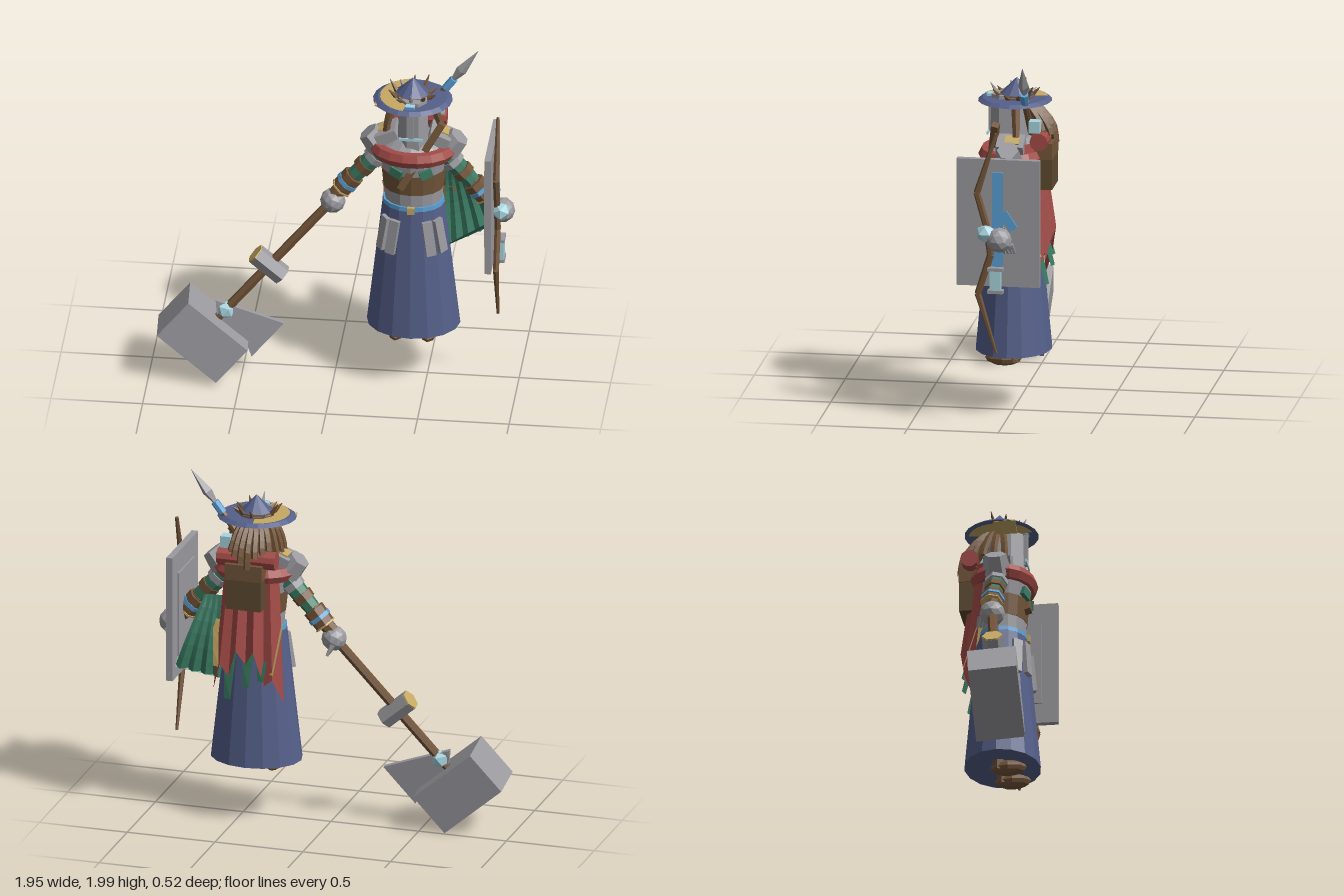
import * as THREE from 'three';

const mat = (name, color, side = THREE.FrontSide) => {
  const m = new THREE.MeshStandardMaterial({ color, side, flatShading: true });
  m.name = name;
  return m;
};
const V = (x, y, z) => new THREE.Vector3(x, y, z);

export function createModel() {
  const root = new THREE.Group();
  root.name = 'wanderingFighter';
  const navy = mat('navy cloth', 0x55608a), grey = mat('steel grey', 0x9b9a9f), brown = mat('leather brown', 0x735539);
  const dark = mat('dark leather', 0x5e4a30), red = mat('red cloth', 0xa34b47, THREE.DoubleSide);
  const green = mat('green cloth', 0x3a7a62, THREE.DoubleSide), gold = mat('gold', 0xc6a964, THREE.DoubleSide);
  const pale = mat('pale blue crystal', 0xa9d6e0), blue = mat('bright blue', 0x5a9fd4);
  const CX = 0.425;

  const add = (name, geo, m, [x, y, z] = [0, 0, 0], [a, b, c] = [0, 0, 0], parent = root) => {
    const mesh = new THREE.Mesh(geo, m);
    mesh.name = name;
    mesh.position.set(x, y, z);
    mesh.rotation.set(a, b, c);
    parent.add(mesh);
    return mesh;
  };
  const box = (w, h, d) => new THREE.BoxGeometry(w, h, d);
  // tapered rod from point a to point b
  const rod = (name, a, b, ra, rb, m, sides = 7, parent = root) => {
    const A = V(...a), B = V(...b), dir = B.clone().sub(A);
    const mesh = add(name, new THREE.CylinderGeometry(rb, ra, dir.length(), sides), m, [0, 0, 0], [0, 0, 0], parent);
    mesh.position.copy(A).lerp(B, 0.5);
    mesh.quaternion.setFromUnitVectors(V(0, 1, 0), dir.normalize());
    return mesh;
  };
  // elliptical body section between two heights
  const section = (name, y0, y1, r0, r1, m, sides = 16, depth = 0.82, z = 0.005) => {
    const mesh = add(name, new THREE.CylinderGeometry(r1, r0, y1 - y0, sides), m, [CX, (y0 + y1) / 2, z]);
    mesh.scale.z = depth;
    return mesh;
  };
  // cloth sheet shaped by a rule of u, v in 0..1
  const sheet = (name, nu, nv, rule, m) => {
    const g = new THREE.PlaneGeometry(1, 1, nu, nv), p = g.attributes.position;
    for (let i = 0; i < p.count; i++) p.setXYZ(i, ...rule(p.getX(i) + 0.5, 0.5 - p.getY(i)));
    g.computeVertexNormals();
    return add(name, g, m);
  };

  // Skirt, torso and belt
  section('skirt', 0.345, 1.12, 0.255, 0.167, navy);
  section('waist', 1.1, 1.2, 0.155, 0.162, grey);
  section('leatherCorset', 1.2, 1.32, 0.165, 0.178, brown);
  section('chestPlate', 1.32, 1.45, 0.175, 0.2, grey);
  section('shoulderSlope', 1.45, 1.53, 0.2, 0.1, grey);
  section('belt', 1.1, 1.125, 0.17, 0.168, blue);
  add('beltBuckle', box(0.04, 0.04, 0.02), gold, [CX, 1.11, 0.145]);
  rod('chestStrap', [0.59, 1.63, 0.08], [0.37, 1.25, 0.15], 0.028, 0.028, brown, 4);
  const collar = add('redCollar', new THREE.TorusGeometry(0.195, 0.045, 6, 18), red, [CX, 1.435, 0.01], [Math.PI / 2, 0, 0]);
  collar.scale.y = 0.78;

  // Paired feet, hip plates, shoulder plates, arms
  for (const s of [-1, 1]) {
    const at = (dx, y, z) => [CX + s * dx, y, z];
    const foot = add('foot', new THREE.SphereGeometry(0.05, 8, 6), brown, at(0.088, 0.305, 0.05));
    foot.scale.set(0.95, 0.85, 2);
    rod('ankle', at(0.088, 0.29, 0), at(0.088, 0.4, 0), 0.04, 0.04, brown);
    for (const [dx, z, turn] of [[0.1, 0.152, 0.35], [0.155, 0.105, 0.9]]) {
      const plate = add('hipPlate', box(0.055, 0.2, 0.025), grey, at(dx, 0.945, z), [-0.12, s * turn, s * 0.1]);
      plate.rotation.order = 'YXZ';
    }
    add('chestOrnament', box(0.07, 0.05, 0.03), green, at(0.08, 1.345, 0.14), [0, s * 0.4, s * 0.3]);
    add('shoulderPlate', new THREE.CylinderGeometry(0.06, 0.08, 0.11, 6), grey, at(0.215, 1.47, 0), [0, 0, -s * 0.7]);
    add('shoulderGuard', box(0.12, 0.07, 0.15), grey, at(0.14, 1.51, 0), [0, 0, -s * 0.4]);
    add('shoulderTrim', box(0.07, 0.008, 0.08), gold, at(0.16, 1.546, -0.01), [0, 0, -s * 0.4]);
    rod('upperSleeve', at(0.17, 1.4, 0), at(0.32, 1.235, 0), 0.06, 0.045, green);
    rod('sleeveBand', at(0.255, 1.31, 0), at(0.285, 1.275, 0), 0.06, 0.057, brown);
    rod('sleeveGuard', at(0.2, 1.37, 0), at(0.225, 1.34, 0), 0.066, 0.063, grey);
    rod('forearm', at(0.32, 1.235, 0), at(0.43, 1.11, 0.01), 0.045, 0.04, brown);
    rod('cuff', at(0.325, 1.23, 0), at(0.395, 1.145, 0), 0.062, 0.058, brown);
    rod('cuffBand', at(0.353, 1.196, 0), at(0.368, 1.178, 0), 0.066, 0.066, blue);
    rod('cuffTrim', at(0.39, 1.15, 0), at(0.396, 1.143, 0), 0.064, 0.064, gold);
    const hx = s < 0 ? 0.44 : 0.485;
    add('hand', new THREE.IcosahedronGeometry(0.07, 1), grey, at(hx, 1.07, 0.01));
    for (let i = 0; i < 4; i++) {
      rod('finger', at(hx + 0.01, 1.05, 0.005 - i * 0.02), at(hx - 0.015, 0.995, -0.02 - i * 0.018), 0.016, 0.008, grey, 5);
    }
  }

  // Head and mask
  section('helmet', 1.46, 1.77, 0.088, 0.08, grey, 8, 1.25, 0.03).rotation.y = Math.PI / 8;
  add('maskRidge', box(0.03, 0.2, 0.02), grey, [CX, 1.65, 0.134]);
  add('eyeSlit', box(0.13, 0.016, 0.008), pale, [CX, 1.555, 0.142]);

  // Wide hat
  const brim = add('hatBrim', new THREE.CylinderGeometry(0.19, 0.217, 0.018, 20), navy, [0.42, 1.742, 0]);
  brim.scale.z = 0.93;
  add('hatCrown', new THREE.ConeGeometry(0.1, 0.1, 10), navy, [0.42, 1.81, -0.01]);
  add('hatBand', new THREE.CylinderGeometry(0.095, 0.1, 0.025, 10), brown, [0.42, 1.758, -0.01]);
  add('hatBuckle', box(0.05, 0.035, 0.04), pale, [0.42, 1.748, 0.13]);
  add('hatBuckleFace', box(0.045, 0.03, 0.008), blue, [0.42, 1.75, 0.154]);
  for (const y of [1.753, 1.73]) {
    add('brimPatch', new THREE.RingGeometry(0.09, 0.178, 12, 1, 1.75, 2.75), gold, [0.42, y, 0], [-Math.PI / 2, 0, 0]);
  }
  add('brimFlap', box(0.1, 0.008, 0.12), gold, [0.27, 1.718, 0.04], [0, 0, -0.35]);
  for (let i = 0; i < 10; i++) {
    const a = i * Math.PI / 5 + 0.3, c = Math.cos(a), n = Math.sin(a);
    rod('hatThorn', [0.42 + c * 0.09, 1.755, n * 0.09], [0.42 + c * 0.135, 1.785 + (i % 3) * 0.02, n * 0.135],
      0.016, 0.002, i % 4 === 2 ? grey : brown, 5);
  }

  // Braided hair falling at the side and back
  for (let i = 0; i < 10; i++) {
    const a = Math.PI * (0.95 + i * 0.085), c = Math.cos(a), n = Math.sin(a), low = 1.5 + (i % 3) * 0.03;
    const path = new THREE.CatmullRomCurve3([
      V(CX + c * 0.07, 1.73, n * 0.09), V(CX + c * 0.11, 1.68, n * 0.15),
      V(CX + c * 0.14, 1.6, n * 0.21), V(CX + c * 0.15, low, n * 0.225)]);
    add('braid', new THREE.TubeGeometry(path, 6, 0.02, 5), brown);
  }
  rod('looseLock', [0.52, 1.71, -0.02], [0.57, 1.56, -0.03], 0.025, 0.02, brown, 5);

  // Spear carried on the back
  rod('spearShaft', [0.43, 1.55, -0.09], [0.6, 1.775, -0.08], 0.018, 0.018, brown);
  rod('spearBinding', [0.59, 1.76, -0.08], [0.635, 1.82, -0.083], 0.024, 0.024, blue);
  rod('spearBladeBase', [0.63, 1.815, -0.083], [0.675, 1.875, -0.087], 0.012, 0.03, grey, 4);
  rod('spearBladeTip', [0.675, 1.875, -0.087], [0.767, 1.998, -0.095], 0.03, 0.001, grey, 4);

  // Backpack, bedroll and charms
  add('backpack', box(0.2, 0.25, 0.09), dark, [0.43, 1.385, -0.175]);
  add('backpackFlap', box(0.21, 0.09, 0.1), brown, [0.43, 1.475, -0.172]);
  add('bedroll', new THREE.CylinderGeometry(0.05, 0.05, 0.33, 10), red, [CX, 1.54, -0.155], [0, 0, Math.PI / 2]);
  add('crystalCharm', box(0.06, 0.065, 0.06), pale, [0.55, 1.62, -0.13]);

  // Tattered red cape with green and gold rags
  const lengths = [0.8, 0.66, 0.7, 0.5, 0.58, 0.5, 0.66, 0.6, 0.76];
  sheet('redCape', 8, 8, (u, v) => {
    const w = u * 2 - 1;
    return [CX + w * (0.15 + 0.05 * v), 1.52 - v * lengths[Math.round(u * 8)],
      -0.14 - 0.07 * v + 0.06 * w * w + 0.012 * Math.cos(u * 8 * Math.PI)];
  }, red);
  [[0.34, green, 0.3], [0.42, green, 0.34], [0.53, green, 0.42], [0.29, gold, 0.26], [0.6, gold, 0.25]].forEach(([x, m, len]) => {
    sheet('rag', 1, 3, (u, v) => [x + (u - 0.5) * 0.1 * (1 - 0.6 * v), 1.15 - v * len,
      -0.125 - 0.09 * v + 1.3 * (x - CX) ** 2 + u * 0.015], m);
  });

  // Green half cloak hanging from the left arm
  sheet('greenCloak', 8, 6, (u, v) => [0.59 + u * (0.11 + 0.14 * v), 1.27 - 0.48 * v + 0.08 * u * v,
    -0.05 - 0.11 * u * v - 0.03 * Math.sin(v * Math.PI) + 0.014 * v * Math.cos(u * 8 * Math.PI)], green);
  sheet('greenCloakUnderside', 4, 2, (u, v) => [0.6 + u * 0.24, 0.79 + 0.08 * u + v * 0.06,
    -0.05 - 0.11 * u + v * 0.1 * (1 - u * 0.4)], green);

  // Tower shield with a raised inner panel
  add('shield', box(0.036, 0.71, 0.455), grey, [0.855, 1.155, 0.022]);
  add('shieldInnerPanel', box(0.012, 0.48, 0.28), grey, [0.833, 1.155, 0.022]);

  // Sword in the left hand
  add('swordBlade', box(0.014, 0.54, 0.058), blue, [0.882, 1.17, 0.022]);
  add('swordEdge', box(0.012, 0.11, 0.05), blue, [0.882, 1.17, -0.035], [0.6, 0, 0]);
  add('swordGrip', box(0.035, 0.11, 0.06), pale, [0.905, 0.845, 0.03]);
  for (const y of [0.78, 0.905]) add('swordGuard', box(0.045, 0.018, 0.085), grey, [0.905, y, 0.03]);

  // Bow held beside the shield
  const bow = [[1.66, 0.03], [1.325, 0.135], [1.13, 0.08], [0.98, 0.06], [0.76, 0.13], [0.43, 0.03]];
  const bowR = [0.01, 0.019, 0.02, 0.02, 0.018, 0.008];
  for (let i = 0; i < 5; i++) {
    rod('bowLimb', [0.888, ...bow[i]], [0.888, ...bow[i + 1]], bowR[i], bowR[i + 1], brown, 6);
  }
  add('bowCrystal', new THREE.IcosahedronGeometry(0.052, 0), pale, [0.91, 1.105, 0.085]);

  // Great hammer: local y runs up the handle, local x along the head
  const hammer = new THREE.Group();
  hammer.name = 'hammer';
  const Y = V(-0.645, -0.755, 0.11).negate().normalize(), X = V(0.76, -0.65, 0).normalize();
  X.addScaledVector(Y, -X.dot(Y)).normalize();
  hammer.quaternion.setFromRotationMatrix(new THREE.Matrix4().makeBasis(X, Y, X.clone().cross(Y)));
  hammer.position.set(-0.015, 1.075, 0.01);
  root.add(hammer);
  const none = [0, 0, 0];
  rod('hammerHandle', [0, -1.0, 0], [0, 0.08, 0], 0.026, 0.026, brown, 6, hammer);
  add('hammerHead', box(0.425, 0.262, 0.265), grey, [0, -1.078, 0], none, hammer);
  add('hammerCrystal', new THREE.IcosahedronGeometry(0.052, 0), pale, [0, -0.89, 0], none, hammer);
  add('handleCounterweight', new THREE.CylinderGeometry(0.058, 0.058, 0.19, 6), grey, [0, -0.527, 0], [0, 0, Math.PI / 2], hammer);
  add('counterweightCap', new THREE.CylinderGeometry(0.057, 0.057, 0.008, 6), gold, [-0.099, -0.527, 0], [0, 0, Math.PI / 2], hammer);
  const blade = new THREE.Shape([[-0.08, -0.88], [0, -0.96], [0.19, -0.95], [0.286, -1.005], [0.286, -0.737]]
    .map(([x, y]) => new THREE.Vector2(x, y)));
  add('hammerBlade', new THREE.ExtrudeGeometry(blade, { depth: 0.03, bevelEnabled: false }), grey, [0, 0, -0.015], none, hammer);

  return root;
}
